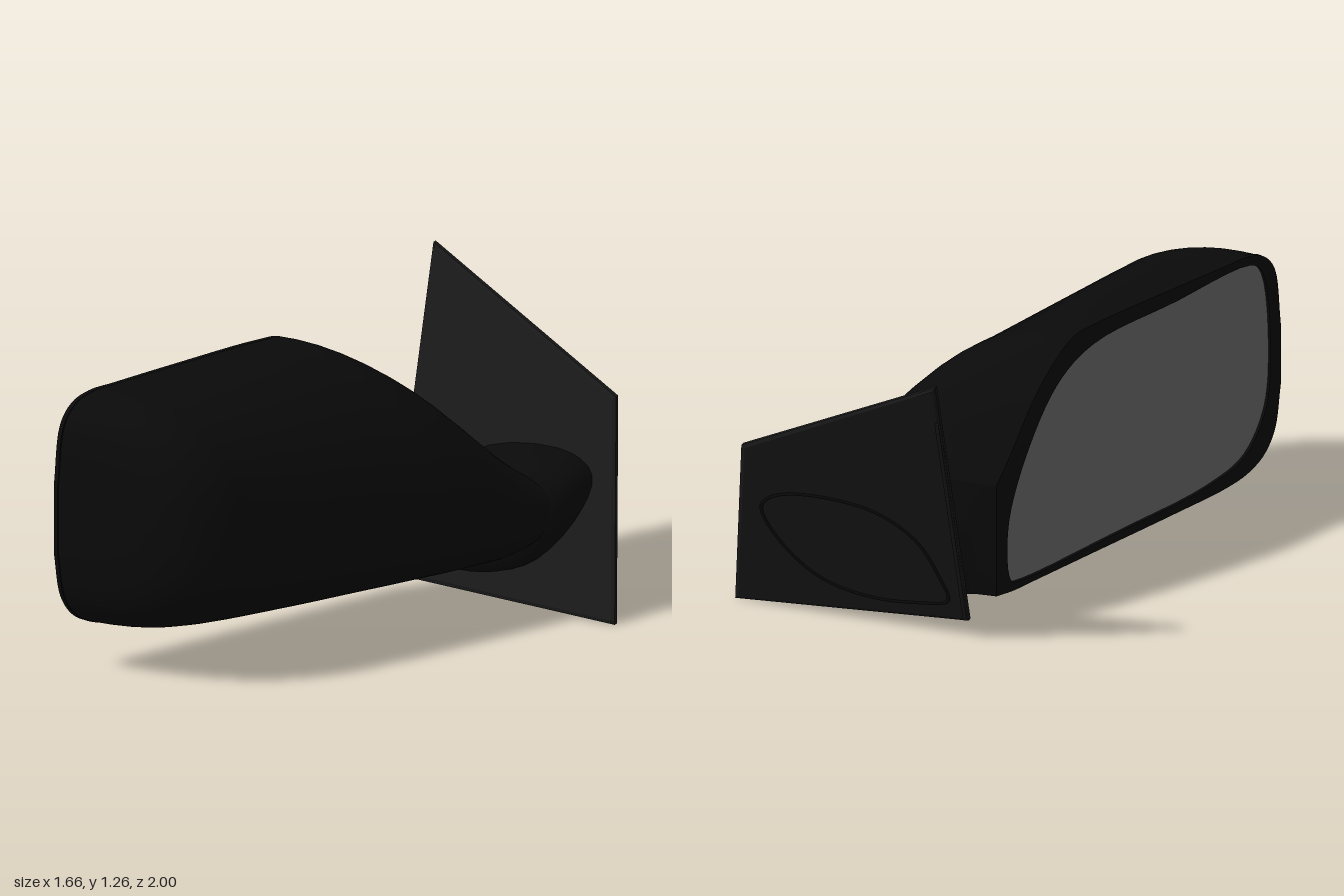
import * as THREE from 'three';

const N = 32; // points across each section
const paint = (color) => new THREE.MeshStandardMaterial({ color, side: THREE.DoubleSide });
const black = paint(0x0a0a0a), plateBlack = paint(0x1a1a1a), glassGrey = paint(0x727272);

function add(group, name, geometry, material) {
  const mesh = new THREE.Mesh(geometry, material);
  mesh.name = name;
  group.add(mesh);
  return mesh;
}

// Skin a list of equal-length rings; optionally close each ring or cap the first
function loft(rings, closed, capStart) {
  const pos = [], index = [], n = rings[0].length;
  rings.forEach((ring) => ring.forEach((p) => pos.push(p.x, p.y, p.z)));
  for (let i = 0; i < rings.length - 1; i++) {
    for (let j = 0; j < (closed ? n : n - 1); j++) {
      const a = i * n + j, b = i * n + (j + 1) % n;
      index.push(a, b, a + n, b, b + n, a + n);
    }
  }
  if (capStart) {
    const c = new THREE.Vector3();
    rings[0].forEach((p) => c.addScaledVector(p, 1 / n));
    pos.push(c.x, c.y, c.z);
    for (let j = 0; j < n; j++) index.push(pos.length / 3 - 1, (j + 1) % n, j);
  }
  const g = new THREE.BufferGeometry();
  g.setAttribute('position', new THREE.Float32BufferAttribute(pos, 3));
  g.setIndex(index);
  g.computeVertexNormals();
  return g;
}

// The glass side of the housing lies on one slanted vertical plane
const backX = (z) => -0.2 - 0.4314 * (z + 0.51);
const plateZ = (y) => -0.522 - 0.365 * (y - 0.05);

// D-shaped section: flat at the glass side, domed to the front, widest at height ym
function section([bz, fx, fz, yb, ym, yt, e]) {
  const ring = [], bx = backX(bz);
  for (let j = 0; j <= N; j++) {
    const a = Math.PI * (0.5 - j / N), s = Math.sin(a), power = s > 0 ? e : 0.8;
    const w = Math.pow(Math.max(0, Math.cos(a)), power);
    const y = ym + (s > 0 ? yt - ym : yb - ym) * Math.pow(Math.abs(s), power);
    ring.push(new THREE.Vector3(bx + (fx - bx) * w, y, bz + (fz - bz) * w));
  }
  return ring;
}

function smoothShape(points) {
  const curve = new THREE.CatmullRomCurve3(points.map(([x, y]) => new THREE.Vector3(x, y, 0)), true);
  return curve.getPoints(80).slice(0, 80).map((p) => new THREE.Vector2(p.x, p.y));
}

export function createModel() {
  const model = new THREE.Group();
  model.name = 'sideMirror';

  // Housing sections from outer end to arm:
  // back z, front x, front z, bottom, widest height, top, roundness
  const stations = [
    [0.955, -0.45, 1.0, 0.5, 0.63, 0.76, 0.8],
    [0.925, -0.34, 0.99, 0.32, 0.62, 1.0, 0.8],
    [0.87, -0.24, 0.955, 0.235, 0.6, 1.075, 0.8],
    [0.79, -0.14, 0.87, 0.19, 0.58, 1.105, 0.8],
    [0.68, -0.07, 0.75, 0.17, 0.55, 1.11, 0.82],
    [0.42, 0.05, 0.54, 0.165, 0.5, 1.12, 0.9],
    [0.0, 0.29, 0.05, 0.165, 0.43, 1.13, 1],
    [-0.1, 0.37, -0.11, 0.165, 0.42, 1.12, 1],
    [-0.21, 0.44, -0.25, 0.165, 0.41, 1.04, 0.98],
    [-0.32, 0.49, -0.35, 0.165, 0.41, 0.91, 0.95],
    [-0.41, 0.535, -0.43, 0.165, 0.42, 0.765, 0.9],
    [-0.495, 0.57, -0.49, 0.175, 0.45, 0.64, 0.8],
  ].map(section);
  const steps = 66;
  const rails = stations[0].map((_, j) => new THREE.CatmullRomCurve3(stations.map((r) => r[j])));
  const rings = [];
  for (let i = 0; i <= steps; i++) rings.push(rails.map((rail) => rail.getPoint(i / steps)));
  add(model, 'housing', loft(rings, false, true), black);

  // Arm from the housing to its leaf-shaped footprint on the plate
  const foot = new THREE.CatmullRomCurve3([
    [-0.03, 0.3], [0.05, 0.48], [0.22, 0.595], [0.55, 0.605], [0.655, 0.53],
    [0.61, 0.37], [0.46, 0.2], [0.27, 0.14], [0.06, 0.15], [-0.05, 0.18],
  ].map(([x, y]) => new THREE.Vector3(x, y, plateZ(y) - 0.01)));
  const footRing = foot.getPoints(N);
  const inner = rings[steps];
  const armRings = [[0, 0], [0.45, 0.12], [0.75, 0.3], [0.92, 0.6], [1, 1]].map(([k, kz]) => inner.map((p, j) => {
    const q = footRing[j];
    return new THREE.Vector3(p.x + (q.x - p.x) * k, p.y + (q.y - p.y) * k, p.z + (q.z - p.z) * kz);
  }));
  add(model, 'arm', loft(armRings, true, false), black);

  // Glass side, drawn in its own plane: x along the housing, z into it
  const face = new THREE.Group();
  face.name = 'mirrorFace';
  face.applyMatrix4(new THREE.Matrix4().makeBasis(
    new THREE.Vector3(0.396, 0, -0.918), new THREE.Vector3(0, 1, 0), new THREE.Vector3(0.918, 0, 0.396),
  ).setPosition(-0.2, 0, -0.51));
  model.add(face);
  const flat = (p) => new THREE.Vector2((p.x + 0.2) * 0.396 - (p.z + 0.51) * 0.918, p.y);
  const outline = [...rings.map((r) => flat(r[0])), ...rings.map((r) => flat(r[N])).reverse()];
  const opening = smoothShape([
    [-0.1, 0.21], [-0.085, 0.45], [-0.19, 0.72], [-0.36, 0.95], [-0.55, 1.045], [-1.0, 1.06],
    [-1.44, 1.06], [-1.5, 1.0], [-1.54, 0.65], [-1.51, 0.42], [-1.4, 0.27], [-1.2, 0.215], [-0.7, 0.2], [-0.15, 0.195],
  ]);
  const bezel = new THREE.Shape(outline);
  bezel.holes.push(new THREE.Path(opening));
  add(face, 'bezel', new THREE.ExtrudeGeometry(bezel, { depth: 0.02, bevelEnabled: false }), black);
  add(face, 'mirrorGlass', new THREE.ShapeGeometry(new THREE.Shape(opening)), glassGrey).position.z = 0.012;

  // Mounting plate, leaned back by shearing z with height
  const lean = (g) => {
    const p = g.attributes.position;
    for (let i = 0; i < p.count; i++) p.setZ(i, p.getZ(i) + plateZ(p.getY(i)));
    g.computeVertexNormals();
    return g;
  };
  const corners = [[-0.14, 1.28], [-0.12, 0.09], [0.83, 0.015], [0.7, 0.82]].map(([x, y]) => new THREE.Vector2(x, y));
  const plate = new THREE.ExtrudeGeometry(new THREE.Shape(corners), {
    depth: 0.02, bevelThickness: 0.007, bevelSize: 0.015, bevelOffset: -0.015, bevelSegments: 1,
  });
  add(model, 'mountingPlate', lean(plate.translate(0, 0, -0.027)), plateBlack);

  // Narrow lip behind the plate's outer edge
  const lip = new THREE.Shape([[-0.136, 1.1], [-0.12, 0.1], [-0.105, 0.1], [-0.121, 1.1]].map(([x, y]) => new THREE.Vector2(x, y)));
  add(model, 'plateLip', lean(new THREE.ExtrudeGeometry(lip, { depth: 0.02, bevelEnabled: false }).translate(0, 0, -0.046)), plateBlack);

  // Seam around the arm's footprint on the back of the plate
  const seam = new THREE.CatmullRomCurve3(foot.points.map((p) => new THREE.Vector3(p.x, p.y, plateZ(p.y) - 0.03)), true);
  add(model, 'footSeam', new THREE.TubeGeometry(seam, 80, 0.009, 6, true), black);

  return model;
}
